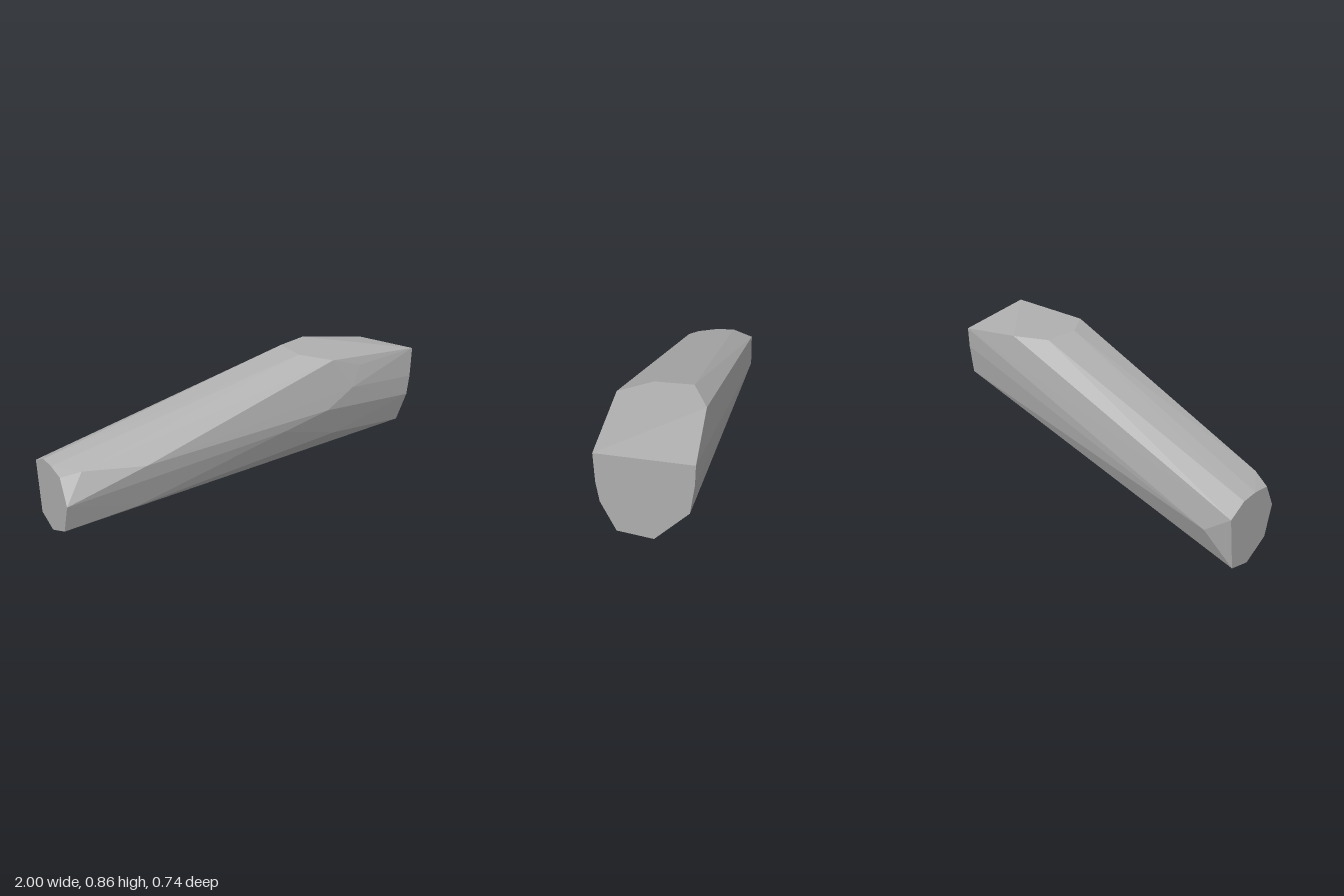
import * as THREE from 'three';
import { ConvexGeometry } from 'three/addons/geometries/ConvexGeometry.js';

export function createModel() {
  const stone = new THREE.MeshStandardMaterial({ color: 0xb0b0b0 });

  // Narrow low end, as [z, y] around the section at x = -1
  const lowEnd = [
    [-0.37, 0.345], [-0.25, 0.395], [-0.14, 0.395], [-0.02, 0.375],
    [0.055, 0.235], [-0.005, 0.068], [-0.18, 0], [-0.33, 0.045],
  ];
  // Broad high end, as [z, y] around the section at x = 1
  const highEnd = [
    [0.37, 0.857], [0.365, 0.69], [0.35, 0.575], [0.277, 0.397],
    [0.098, 0.352], [-0.075, 0.52], [-0.098, 0.69], [-0.102, 0.805],
  ];
  // Corners between the ends, as [x, y, z]
  const corners = [
    // flat top
    [0.6, 0.857, -0.135], [0.4, 0.857, -0.065], [0.38, 0.857, 0.14], [0.48, 0.857, 0.32],
    // front bulge
    [-0.9, 0.408, 0.035], [-0.58, 0.41, 0.15], [0.65, 0.81, 0.345],
    [0.6, 0.69, 0.352], [0.45, 0.575, 0.33], [0.2, 0.48, 0.275],
    [-0.6, 0.15, 0.07], [0.55, 0.4, 0.265],
    // back corner
    [-0.85, 0.235, -0.37],
  ];

  const points = [
    ...lowEnd.map(([z, y]) => new THREE.Vector3(-1, y, z)),
    ...highEnd.map(([z, y]) => new THREE.Vector3(1, y, z)),
    ...corners.map((c) => new THREE.Vector3(...c)),
  ];

  // Faceted block wrapped around all corners
  const block = new THREE.Mesh(new ConvexGeometry(points), stone);
  stone.name = 'stoneGrey';
  block.name = 'facetedBlock';

  const model = new THREE.Group();
  model.name = 'slantedBlock';
  model.add(block);
  return model;
}
